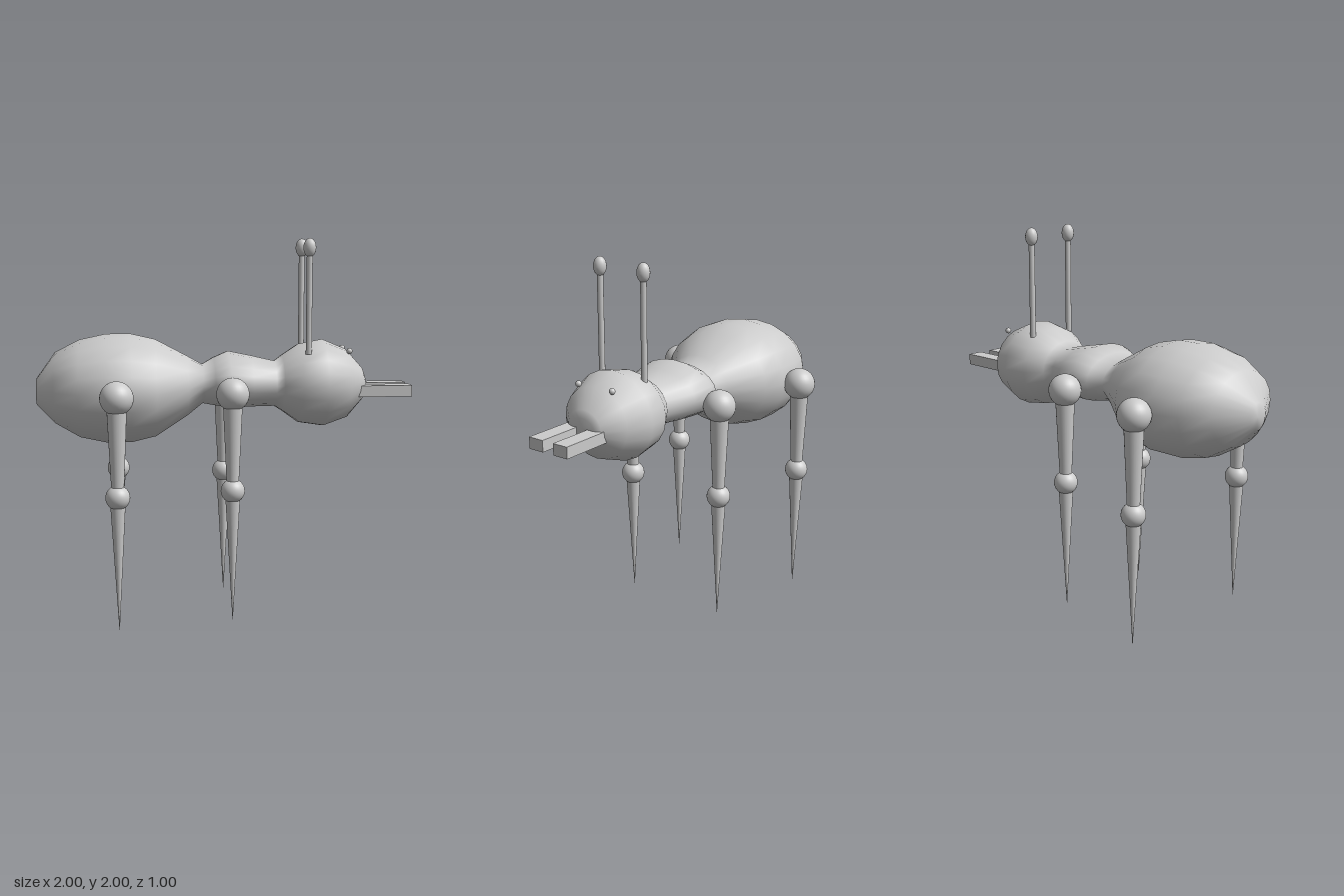
import * as THREE from 'three';

const material = new THREE.MeshStandardMaterial({ color: 0xcccccc });

function add(parent, name, geometry, x, y, z) {
  const mesh = new THREE.Mesh(geometry, material);
  mesh.name = name;
  mesh.position.set(x, y, z);
  parent.add(mesh);
  return mesh;
}

// Body cross-sections along x: [x, bottom y, top y, half width in z]
const sections = [
  [-1.0, 1.12, 1.26, 0.06],
  [-0.9, 1.02, 1.4, 0.24],
  [-0.77, 0.945, 1.465, 0.325],
  [-0.63, 0.915, 1.495, 0.365],
  [-0.5, 0.915, 1.495, 0.365],
  [-0.37, 0.945, 1.465, 0.33],
  [-0.2, 1.055, 1.375, 0.2],
  [-0.12, 1.12, 1.33, 0.16],
  [-0.06, 1.11, 1.365, 0.215],
  [0.02, 1.095, 1.4, 0.25],
  [0.14, 1.1, 1.375, 0.225],
  [0.27, 1.1, 1.345, 0.145],
  [0.31, 1.075, 1.375, 0.175],
  [0.4, 1.01, 1.435, 0.235],
  [0.53, 0.99, 1.46, 0.255],
  [0.66, 1.035, 1.405, 0.2],
  [0.745, 1.13, 1.31, 0.105],
  [0.76, 1.17, 1.27, 0.07],
];

// Elliptical rings joined into one closed skin
function bodyGeometry(sides = 20) {
  const points = [], index = [];
  for (const [x, low, high, width] of sections) {
    for (let j = 0; j < sides; j++) {
      const a = (j / sides) * Math.PI * 2;
      points.push(x, (low + high) / 2 + Math.cos(a) * (high - low) / 2, Math.sin(a) * width);
    }
  }
  const last = sections.length - 1;
  for (let i = 0; i < last; i++) {
    for (let j = 0; j < sides; j++) {
      const k = (j + 1) % sides;
      const a = i * sides + j, b = i * sides + k;
      index.push(a, b, a + sides, b, b + sides, a + sides);
    }
  }
  // End caps
  const tail = points.length / 3, nose = tail + 1;
  for (const i of [0, last]) {
    const [x, low, high] = sections[i];
    points.push(x, (low + high) / 2, 0);
  }
  for (let j = 0; j < sides; j++) {
    const k = (j + 1) % sides;
    index.push(tail, k, j, nose, last * sides + j, last * sides + k);
  }
  const geometry = new THREE.BufferGeometry();
  geometry.setAttribute('position', new THREE.Float32BufferAttribute(points, 3));
  geometry.setIndex(index);
  geometry.computeVertexNormals();
  return geometry;
}

// Hip ball, tapered thigh, knee ball and spiked shin
function makeLeg(name, x, z) {
  const leg = new THREE.Group();
  leg.name = name;
  leg.position.set(x, 0, z);
  add(leg, 'hip', new THREE.SphereGeometry(0.086, 32, 16), 0, 1.2, 0);
  add(leg, 'thigh', new THREE.CylinderGeometry(0.053, 0.031, 0.48, 24), 0, 0.95, 0);
  add(leg, 'knee', new THREE.SphereGeometry(0.063, 32, 16), 0, 0.695, 0);
  add(leg, 'shin', new THREE.CylinderGeometry(0.04, 0.001, 0.68, 24), 0, 0.34, 0);
  return leg;
}

export function createModel() {
  const model = new THREE.Group();
  model.name = 'ant';
  add(model, 'body', bodyGeometry(), 0, 0, 0);

  for (const side of [1, -1]) {
    model.add(makeLeg('rearLeg', -0.575, side * 0.415));
    model.add(makeLeg('foreLeg', 0.02, side * 0.293));

    // Antenna with an egg-shaped tip
    const antennaZ = 0.01 + side * 0.137;
    add(model, 'antenna', new THREE.CylinderGeometry(0.016, 0.016, 0.53, 16), 0.435, 1.655, antennaZ);
    const tip = add(model, 'antennaTip', new THREE.SphereGeometry(0.034, 16, 12), 0.435, 1.947, antennaZ);
    tip.scale.y = 1.45;

    add(model, 'eye', new THREE.SphereGeometry(0.016, 16, 12), 0.66, 1.403, side * 0.108);
    add(model, 'mandible', new THREE.BoxGeometry(0.3, 0.06, 0.087), 0.85, 1.188, 0.005 + side * 0.077);
  }
  return model;
}
